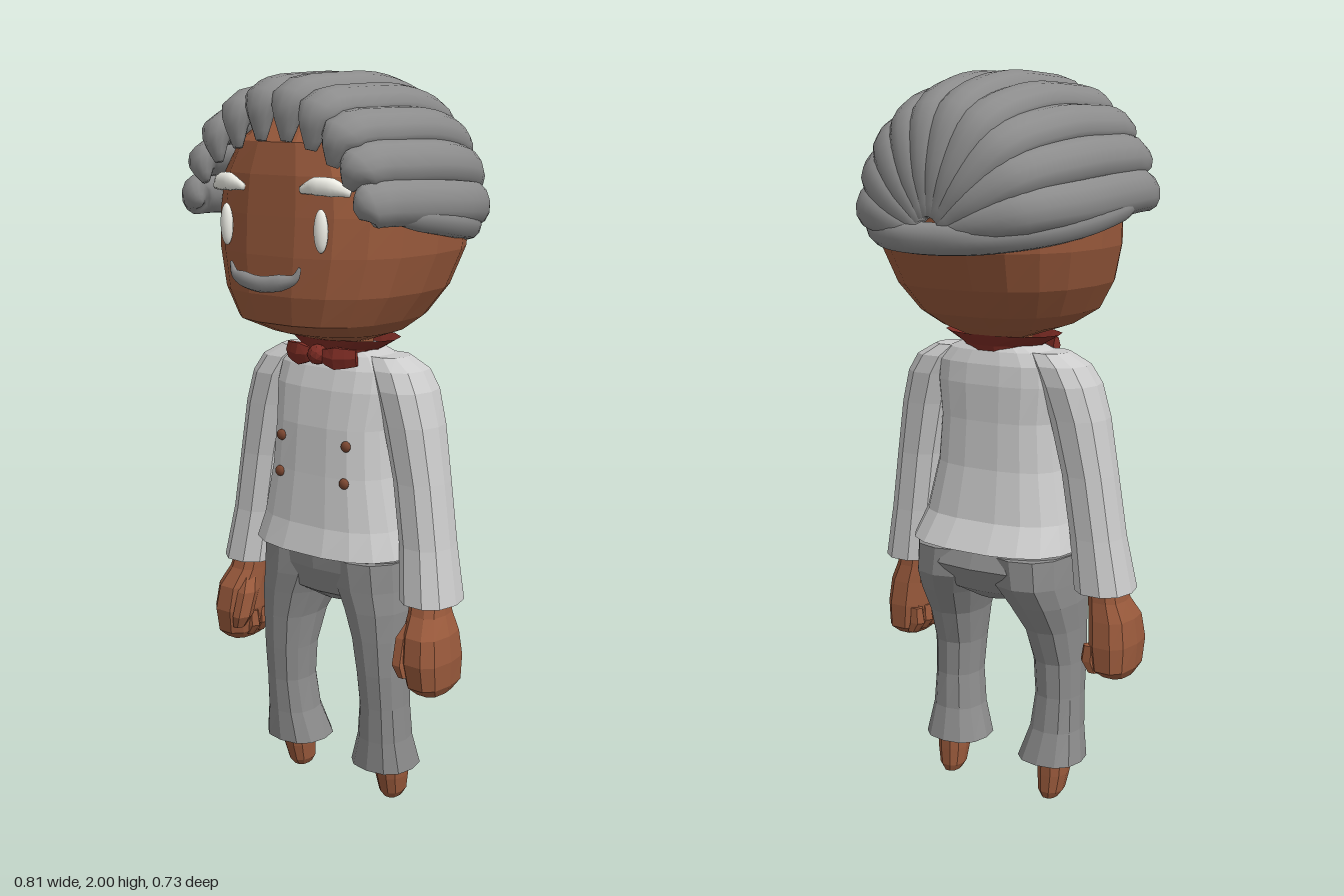
import * as THREE from 'three';

const V = (x, y, z) => new THREE.Vector3(x, y, z);
const mat = (color, flat = true) =>
  new THREE.MeshStandardMaterial({ color, flatShading: flat, side: THREE.DoubleSide });
const skin = mat(0x9a5a3c), coat = mat(0xcccccc), cloth = mat(0x8c8c8c), red = mat(0x7d2c24);
const hairGrey = mat(0x8c8c8c, false), white = mat(0xf0f0e8, false), brown = mat(0x7a4630, false);

// Skin a series of equal-length point rings, optionally closing the two ends
function loft(rings, capStart = true, capEnd = true) {
  const n = rings[0].length, pos = [], idx = [];
  rings.forEach(r => r.forEach(p => pos.push(p.x, p.y, p.z)));
  for (let k = 0; k < rings.length - 1; k++)
    for (let i = 0; i < n; i++) {
      const a = k * n + i, b = k * n + (i + 1) % n;
      idx.push(a, a + n, b, b, a + n, b + n);
    }
  const cap = (k, flip) => {
    const c = rings[k].reduce((s, p) => s.add(p), V(0, 0, 0)).divideScalar(n);
    const m = pos.length / 3;
    pos.push(c.x, c.y, c.z);
    for (let i = 0; i < n; i++) {
      const a = k * n + i, b = k * n + (i + 1) % n;
      flip ? idx.push(m, b, a) : idx.push(m, a, b);
    }
  };
  if (capStart) cap(0, false);
  if (capEnd) cap(rings.length - 1, true);
  const g = new THREE.BufferGeometry();
  g.setAttribute('position', new THREE.Float32BufferAttribute(pos, 3));
  g.setIndex(idx);
  g.computeVertexNormals();
  return g;
}

// Rows run bottom to top: [y, centre x, half width, front z, back z]
function body(rows, n = 12, e = 2.3, side = 1, capStart = true, capEnd = true) {
  const sp = v => Math.sign(v) * Math.pow(Math.abs(v), 2 / e);
  return loft(rows.map(([y, cx, rx, zf, zb]) => Array.from({ length: n }, (_, i) => {
    const a = i / n * Math.PI * 2;
    return V(cx * side + rx * sp(Math.cos(a)), y, (zf + zb) / 2 + (zf - zb) / 2 * sp(Math.sin(a)));
  })), capStart, capEnd);
}

// Oval section swept along a curve, its thin axis pointing away from a centre
function strand(points, scales, halfW, halfT, centre, steps = 24, n = 12) {
  const curve = new THREE.CatmullRomCurve3(points), rings = [];
  for (let k = 0; k <= steps; k++) {
    const t = k / steps, p = curve.getPoint(t), T = curve.getTangent(t);
    const f = t * (scales.length - 1), j = Math.min(Math.floor(f), scales.length - 2);
    const s = THREE.MathUtils.lerp(scales[j], scales[j + 1], f - j);
    const N = p.clone().sub(centre);
    N.addScaledVector(T, -N.dot(T)).normalize();
    const B = N.clone().cross(T);
    rings.push(Array.from({ length: n }, (_, i) => {
      const a = i / n * Math.PI * 2;
      return p.clone().addScaledVector(N, Math.cos(a) * halfT * s).addScaledVector(B, Math.sin(a) * halfW * s);
    }));
  }
  return loft(rings);
}

export function createModel() {
  const root = new THREE.Group();
  const add = (name, geo, m) => {
    const mesh = new THREE.Mesh(geo, m);
    mesh.name = name;
    root.add(mesh);
    return mesh;
  };

  // Head and neck
  add('head', body([
    [1.305, 0, 0.08, 0.09, -0.08], [1.335, 0, 0.17, 0.2, -0.13], [1.375, 0, 0.225, 0.295, -0.19],
    [1.45, 0, 0.272, 0.312, -0.25], [1.55, 0, 0.302, 0.312, -0.295], [1.65, 0, 0.308, 0.305, -0.305],
    [1.75, 0, 0.29, 0.297, -0.3], [1.83, 0, 0.235, 0.28, -0.26], [1.89, 0, 0.16, 0.22, -0.2],
    [1.93, 0, 0.07, 0.14, -0.1]], 18, 2.6), skin);
  add('neck', body([[1.2, 0, 0.08, 0.08, -0.06], [1.34, 0, 0.08, 0.08, -0.06]], 10), skin);

  // Hair locks fanned over the crown, swept to the nape: [z, x radius, y radius, centre y]
  const sweep = [[0.288, 0.265, 0.2, 1.635], [0.27, 0.29, 0.295, 1.64], [0.1, 0.3, 0.325, 1.635],
    [-0.1, 0.295, 0.335, 1.62], [-0.265, 0.235, 0.285, 1.61], [-0.32, 0.14, 0.17, 1.6], [-0.33, 0.04, 0.05, 1.59]];
  const hairCentre = V(0, 1.62, -0.02);
  for (const side of [-1, 1])
    for (let i = 0; i < 5; i++) {
      const a = side * THREE.MathUtils.degToRad(9 + 18 * i);
      const path = sweep.map(([z, rx, ry, cy]) => V(Math.sin(a) * rx, cy + Math.cos(a) * ry, z));
      add('hairLock', strand(path, [0.25, 0.95, 1, 1, 0.95, 0.7, 0.4], 0.06, 0.044, hairCentre), hairGrey);
    }
  const half = [[0.285, 1.67, 0.25], [0.305, 1.65, 0.1], [0.295, 1.625, -0.08], [0.24, 1.605, -0.22], [0.13, 1.59, -0.31]];
  const bandPath = [...half.map(p => V(...p)), V(0, 1.585, -0.328),
    ...half.slice().reverse().map(([x, y, z]) => V(-x, y, z))];
  add('hairBand', strand(bandPath, [0.3, 0.85, 1, 1, 1, 1, 1, 1, 1, 0.85, 0.3], 0.042, 0.038, hairCentre, 48), hairGrey);

  // Eyes and eyebrows
  for (const s of [-1, 1]) {
    const eye = add('eye', new THREE.SphereGeometry(1, 14, 10), white);
    eye.scale.set(0.019, 0.054, 0.015);
    eye.position.set(s * 0.157, 1.62, 0.295);
    eye.rotation.y = s * 0.2;
    add('eyebrow', strand([V(s * 0.095, 1.717, 0.297), V(s * 0.14, 1.728, 0.295), V(s * 0.185, 1.726, 0.284), V(s * 0.225, 1.712, 0.262)],
      [0.4, 1, 1, 0.4], 0.023, 0.017, V(0, 1.72, 0), 12, 8), white);
  }

  // Moustache held just off the face
  const lip = [[0.115, 1.53, 0.326], [0.1, 1.502, 0.33], [0.06, 1.49, 0.338]];
  add('moustache', strand([...lip.map(p => V(...p)), V(0, 1.483, 0.346), ...lip.reverse().map(([x, y, z]) => V(-x, y, z))],
    [0.2, 0.55, 1, 1, 1, 0.55, 0.2], 0.021, 0.017, V(0, 1.49, 0), 24, 8), hairGrey);

  // Neckerchief with a bow
  add('neckerchief', body([[1.25, 0, 0.11, 0.1, -0.075], [1.285, 0, 0.12, 0.11, -0.085], [1.315, 0, 0.175, 0.12, -0.1]],
    14, 2, 1, false, false), red);
  const knot = add('bowKnot', new THREE.IcosahedronGeometry(0.028, 1), red);
  knot.position.set(0, 1.272, 0.122);
  for (const s of [-1, 1])
    add('bowLoop', strand([V(s * 0.01, 1.272, 0.122), V(s * 0.06, 1.268, 0.122), V(s * 0.115, 1.272, 0.1)],
      [0.5, 1, 0.75], 0.034, 0.016, V(0, 1.27, 0), 4, 6), red);

  // Jacket with flared hem, open below
  add('jacket', body([
    [0.735, 0, 0.25, 0.195, -0.185], [0.81, 0, 0.225, 0.172, -0.135], [0.95, 0, 0.195, 0.158, -0.108],
    [1.08, 0, 0.185, 0.148, -0.1], [1.18, 0, 0.195, 0.13, -0.1], [1.235, 0, 0.19, 0.11, -0.093],
    [1.27, 0, 0.155, 0.09, -0.08], [1.29, 0, 0.105, 0.075, -0.065]], 18, 2.7, 1, false), coat);
  for (const x of [-0.112, 0.112])
    for (const y of [0.94, 1.04]) {
      const button = add('button', new THREE.SphereGeometry(0.015, 10, 8), brown);
      button.position.set(x, y, y < 1 ? 0.15 : 0.142);
      button.scale.z = 0.7;
    }

  // Trouser seat
  add('trouserSeat', body([
    [0.575, 0, 0.06, 0.07, -0.07], [0.61, 0, 0.15, 0.125, -0.125], [0.68, 0, 0.228, 0.145, -0.165],
    [0.74, 0, 0.232, 0.15, -0.14], [0.82, 0, 0.2, 0.14, -0.1]], 16, 2.5), cloth);

  for (const s of [-1, 1]) {
    // Sleeve and cuff
    add('sleeve', body([
      [0.63, 0.317, 0.08, 0.12, -0.06], [0.78, 0.297, 0.072, 0.1, -0.058], [0.95, 0.272, 0.072, 0.095, -0.062],
      [1.1, 0.242, 0.077, 0.098, -0.072], [1.19, 0.215, 0.078, 0.098, -0.08], [1.24, 0.187, 0.075, 0.085, -0.075],
      [1.272, 0.15, 0.055, 0.06, -0.055]], 10, 2.3, s), coat);

    // Fist with thumb and curled fingers
    add('hand', body([
      [0.385, 0.345, 0.038, 0.11, 0], [0.41, 0.343, 0.055, 0.14, -0.035], [0.48, 0.34, 0.063, 0.152, -0.038],
      [0.55, 0.334, 0.06, 0.14, -0.03], [0.6, 0.322, 0.05, 0.105, -0.02], [0.66, 0.315, 0.045, 0.085, -0.015]],
      10, 2.7, s), skin);
    add('thumb', body([
      [0.435, 0.298, 0.015, 0.145, 0.105], [0.47, 0.288, 0.025, 0.155, 0.085], [0.54, 0.285, 0.025, 0.135, 0.06],
      [0.59, 0.3, 0.018, 0.1, 0.04]], 6, 2, s), skin);
    for (let f = 0; f < 3; f++) {
      const z = 0.075 - f * 0.042;
      add('finger', body([[0.4, 0.305, 0.018, z + 0.017, z - 0.017], [0.43, 0.29, 0.026, z + 0.02, z - 0.02],
        [0.475, 0.292, 0.02, z + 0.016, z - 0.016]], 6, 2, s), skin);
    }

    // Trouser leg, flared at the ankle
    add('trouserLeg', body([
      [0.11, 0.158, 0.094, 0.108, -0.07], [0.2, 0.166, 0.072, 0.108, -0.042], [0.3, 0.17, 0.064, 0.113, -0.032],
      [0.4, 0.167, 0.068, 0.123, -0.035], [0.5, 0.16, 0.077, 0.132, -0.07], [0.58, 0.147, 0.094, 0.14, -0.12],
      [0.64, 0.13, 0.108, 0.145, -0.155], [0.72, 0.12, 0.115, 0.148, -0.155]], 12, 2.4, s), cloth);

    // Tapered foot
    add('foot', body([
      [0, 0.168, 0.022, 0.025, -0.035], [0.02, 0.169, 0.035, 0.04, -0.042], [0.07, 0.171, 0.042, 0.055, -0.042],
      [0.15, 0.172, 0.045, 0.07, -0.04]], 10, 2.3, s), skin);
  }
  return root;
}
